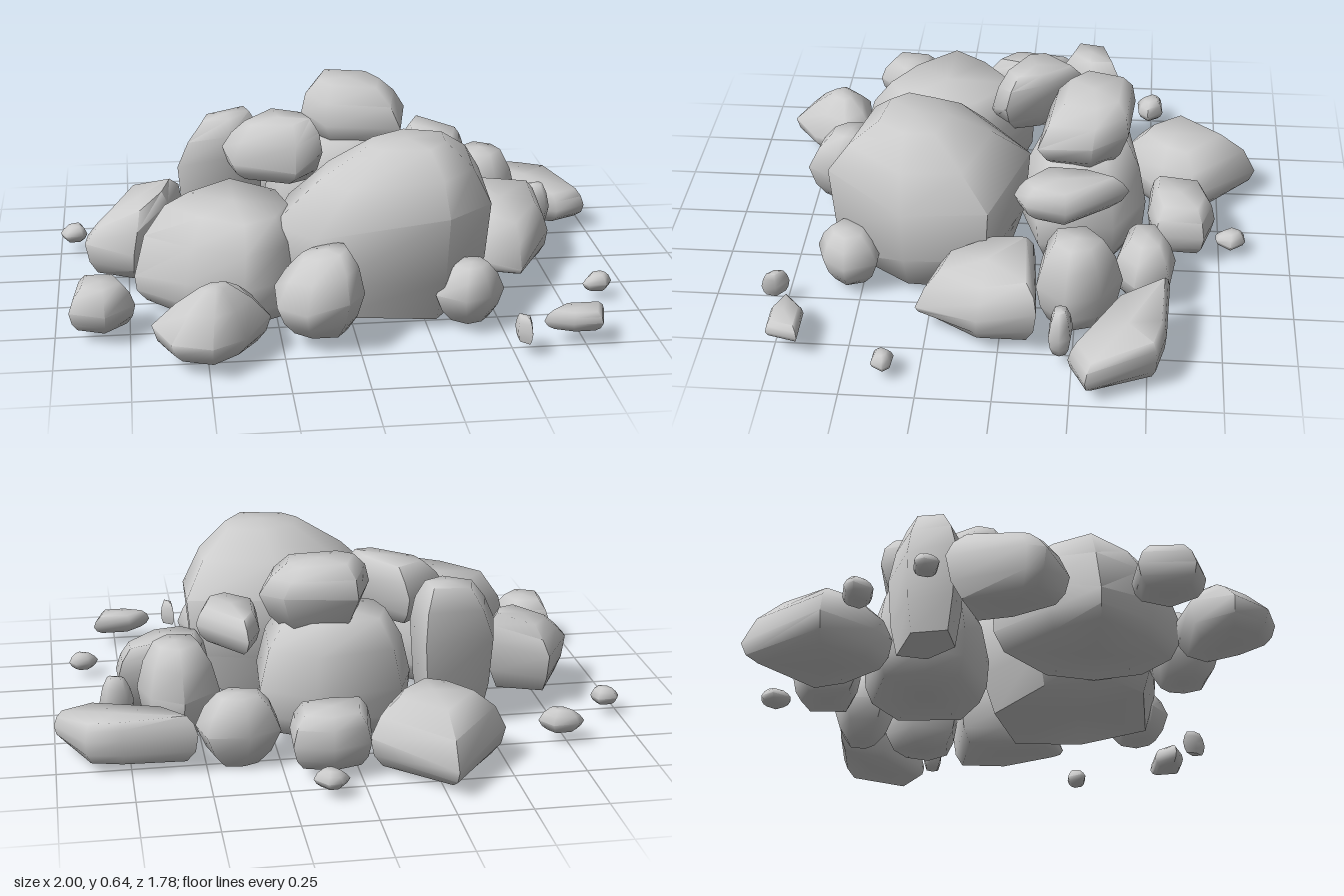
import * as THREE from 'three';
import { toCreasedNormals } from 'three/addons/utils/BufferGeometryUtils.js';

const material = new THREE.MeshStandardMaterial({ color: 0xcccccc });

// One boulder lofted from its plan outline (clockwise seen from above).
// Outline points are [x, z] or [x, z, y], y being the height where that corner is widest.
// mid: default height fraction of the widest ring; top/base: scale of the end rings;
// bulge: roundness of the shoulder; lean: x/z shift of the crown; tilt: x/z slope of the crown.
function rock(group, name, y0, y1, outline, options = {}) {
  const { mid = 0.45, top = 0.5, base = 0.7, bulge = 0.05, lean = [0, 0], tilt = [0, 0] } = options;
  const n = outline.length;
  const cx = outline.reduce((s, p) => s + p[0], 0) / n;
  const cz = outline.reduce((s, p) => s + p[1], 0) / n;
  const h = y1 - y0;
  // Each ring: scale, rise from base to widest, rise from widest to crown
  const rings = [
    [base, 0, 0],
    [(1 + base) / 2 + 0.04, 0.4, 0],
    [1, 1, 0],
    [(1 + top) / 2 + bulge, 1, 0.55],
    [top, 1, 0.96],
  ];
  const positions = [];
  const index = [];
  for (const [scale, low, k] of rings) {
    for (const [x, z, y = y0 + h * mid] of outline) {
      const dx = (x - cx) * scale;
      const dz = (z - cz) * scale;
      positions.push(
        cx + dx + lean[0] * k,
        y0 + (y - y0) * low + (y1 - y + dx * tilt[0] + dz * tilt[1]) * k,
        cz + dz + lean[1] * k
      );
    }
  }
  for (let r = 0; r < rings.length - 1; r++) {
    for (let i = 0; i < n; i++) {
      const j = (i + 1) % n;
      const lo = r * n;
      const up = lo + n;
      index.push(lo + j, lo + i, up + i, lo + j, up + i, up + j);
    }
  }
  // Close the underside and the crown
  const bottom = positions.length / 3;
  positions.push(cx, y0, cz, cx + lean[0], y1, cz + lean[1]);
  const last = (rings.length - 1) * n;
  for (let i = 0; i < n; i++) {
    const j = (i + 1) % n;
    index.push(bottom, i, j, bottom + 1, last + j, last + i);
  }
  const geometry = new THREE.BufferGeometry();
  geometry.setAttribute('position', new THREE.Float32BufferAttribute(positions, 3));
  geometry.setIndex(index);
  const mesh = new THREE.Mesh(toCreasedNormals(geometry, 1.25), material);
  mesh.name = name;
  group.add(mesh);
}

// Small loose stone with a skewed six-sided plan
function pebble(group, x, z, width, depth, y0, y1, turn) {
  const outline = [];
  for (let i = 0; i < 6; i++) {
    const a = (i / 6) * Math.PI * 2 + 0.25 * Math.sin(i * 2.3 + turn);
    outline.push([x + Math.cos(a) * width / 2, z + Math.sin(a) * depth / 2]);
  }
  rock(group, 'pebble', y0, y1, outline, { top: 0.5, base: 0.6, tilt: [0.15, -0.1] });
}

export function createModel() {
  const pile = new THREE.Group();
  pile.name = 'rockPile';

  // Main boulders
  rock(pile, 'mainBoulder', 0.04, 0.61,
    [[0.15, -0.07, 0.42], [0.51, 0.05, 0.4], [0.5, 0.35, 0.37], [0.31, 0.62, 0.42],
      [-0.13, 0.55, 0.34], [-0.26, 0.39, 0.34], [-0.18, 0.12, 0.35]],
    { top: 0.35, base: 0.82, bulge: 0.03, lean: [0.08, 0.04] });
  rock(pile, 'rightBoulder', 0.04, 0.39,
    [[-0.4, -0.05, 0.22], [-0.19, 0.13], [-0.15, 0.32], [-0.22, 0.5], [-0.37, 0.59, 0.18],
      [-0.56, 0.47, 0.17], [-0.73, 0.28, 0.13], [-0.61, 0.12, 0.2]],
    { mid: 0.4, top: 0.72, base: 0.88, bulge: 0.06, lean: [0.02, -0.02] });
  rock(pile, 'backBoulder', 0.05, 0.46,
    [[-0.18, -0.43], [0.12, -0.48], [0.3, -0.37], [0.28, -0.1], [0.08, -0.03], [-0.2, -0.13], [-0.24, -0.27]],
    { mid: 0.4, top: 0.66, base: 0.85 });

  // Upper stones resting on the boulders
  rock(pile, 'topStone', 0.4, 0.65,
    [[-0.03, -0.43, 0.54], [0.22, -0.41, 0.55], [0.29, -0.29, 0.53], [0.25, -0.1, 0.5], [-0.02, -0.13, 0.51], [-0.1, -0.23, 0.54]],
    { top: 0.6, base: 0.55, bulge: 0.06, lean: [-0.02, -0.02], tilt: [-0.06, -0.05] });
  rock(pile, 'upperFrontStone', 0.36, 0.575,
    [[-0.24, -0.25], [-0.09, -0.1, 0.5], [-0.05, 0.03], [-0.15, 0.09, 0.41], [-0.37, -0.01, 0.42], [-0.4, -0.1, 0.46]],
    { mid: 0.5, top: 0.65, lean: [0.02, -0.01], tilt: [0.12, 0] });
  rock(pile, 'upperRightStone', 0.06, 0.535,
    [[-0.27, -0.4, 0.35], [-0.24, -0.26, 0.4], [-0.38, -0.14, 0.4], [-0.56, -0.18, 0.36], [-0.52, -0.34, 0.34]],
    { top: 0.55, base: 0.75, lean: [0.02, 0], tilt: [0.12, 0] });
  rock(pile, 'upperLeftSlab', 0.34, 0.47,
    [[0.34, -0.42], [0.5, -0.21], [0.46, -0.07], [0.39, -0.03], [0.28, -0.13], [0.29, -0.3]],
    { mid: 0.5, top: 0.75, bulge: 0.02 });

  // Stones behind the boulders
  rock(pile, 'backRightStone', 0.03, 0.27,
    [[-0.28, -0.89, 0.1], [-0.03, -0.66, 0.14], [-0.09, -0.53], [-0.25, -0.38, 0.14], [-0.37, -0.44], [-0.5, -0.62, 0.13]],
    { mid: 0.4, top: 0.55, base: 0.8, bulge: 0.07 });
  rock(pile, 'backMiddleStone', 0.05, 0.24,
    [[-0.03, -0.69], [0.1, -0.73], [0.23, -0.69], [0.22, -0.52], [0.08, -0.49], [-0.06, -0.5]],
    { top: 0.7, base: 0.75 });
  rock(pile, 'backLeftStone', 0.01, 0.26,
    [[0.25, -0.54], [0.36, -0.59], [0.5, -0.57], [0.53, -0.45], [0.44, -0.37], [0.25, -0.41]],
    { mid: 0.5, top: 0.5, base: 0.45 });

  // Stones on the left flank
  rock(pile, 'farLeftSlab', 0.05, 0.19,
    [[0.53, -0.57, 0.15], [0.78, -0.56, 0.14], [0.9, -0.53, 0.13], [1.0, -0.3, 0.1], [0.88, -0.24, 0.1], [0.62, -0.4, 0.11]],
    { top: 0.86, base: 0.85, bulge: 0.02, tilt: [-0.06, -0.12] });
  rock(pile, 'leftStone', 0.06, 0.28,
    [[0.47, -0.11, 0.2], [0.77, -0.13, 0.19], [0.77, 0.07, 0.15], [0.63, 0.29, 0.09], [0.5, 0.24, 0.11], [0.44, 0.05, 0.18]],
    { top: 0.72, base: 0.82, bulge: 0.04, lean: [0, -0.02], tilt: [-0.15, -0.2] });
  rock(pile, 'leftRearStone', 0.05, 0.37,
    [[0.56, -0.41], [0.67, -0.34], [0.71, -0.22], [0.62, -0.12], [0.47, -0.13], [0.43, -0.3]],
    { mid: 0.45, top: 0.55 });

  // Stones on the right flank
  rock(pile, 'rightTiltedStone', 0.06, 0.31,
    [[-0.76, -0.22, 0.21], [-0.55, -0.14, 0.25], [-0.6, 0.01, 0.22], [-0.73, 0.18, 0.16], [-0.9, 0.09, 0.18], [-0.89, 0.03, 0.19]],
    { top: 0.62, base: 0.75, lean: [0.03, -0.01], tilt: [0.3, -0.05] });
  rock(pile, 'rightSmallStone', 0.05, 0.2,
    [[-0.93, 0.37], [-0.78, 0.37], [-0.73, 0.5], [-0.83, 0.6], [-0.95, 0.55]],
    { top: 0.6, base: 0.75 });

  // Stones along the front
  rock(pile, 'frontRightStone', 0.05, 0.26,
    [[-0.54, 0.6, 0.18], [-0.35, 0.57, 0.17], [-0.29, 0.67, 0.13], [-0.38, 0.8, 0.11], [-0.49, 0.89, 0.12],
      [-0.62, 0.84, 0.12], [-0.68, 0.72, 0.14]],
    { top: 0.25, base: 0.75, bulge: 0.01, lean: [0.01, -0.03] });
  rock(pile, 'frontMiddleStone', 0.06, 0.33,
    [[-0.21, 0.53], [-0.05, 0.52], [0.01, 0.58], [0.02, 0.67], [-0.04, 0.76], [-0.18, 0.76, 0.16], [-0.27, 0.68, 0.16], [-0.27, 0.57]],
    { mid: 0.5, top: 0.5, base: 0.6, lean: [0.02, -0.03], tilt: [0.2, 0] });
  rock(pile, 'frontLeftStone', 0.04, 0.24,
    [[0.32, 0.44], [0.47, 0.44], [0.51, 0.55], [0.45, 0.63], [0.36, 0.66], [0.27, 0.59]],
    { mid: 0.5, top: 0.5, base: 0.55 });

  // Loose pebbles: x, z, width, depth, bottom, top, turn
  pebble(pile, 0.12, -0.79, 0.12, 0.11, 0.04, 0.1, 0);
  pebble(pile, -0.73, -0.495, 0.16, 0.11, 0.05, 0.13, 1);
  pebble(pile, -0.95, -0.285, 0.1, 0.1, 0.05, 0.11, 2);
  pebble(pile, 0.78, -0.21, 0.12, 0.1, 0.06, 0.23, 3);
  pebble(pile, 0.88, 0.37, 0.11, 0.08, 0.04, 0.1, 4);
  rock(pile, 'flatChip', 0.06, 0.13,
    [[0.69, 0.66], [0.83, 0.66], [0.8, 0.77], [0.7, 0.77], [0.61, 0.73]], { top: 0.75, base: 0.7 });
  rock(pile, 'smallChip', 0.05, 0.14,
    [[0.51, 0.74], [0.56, 0.78], [0.55, 0.83], [0.51, 0.79]], { top: 0.6 });

  return pile;
}
